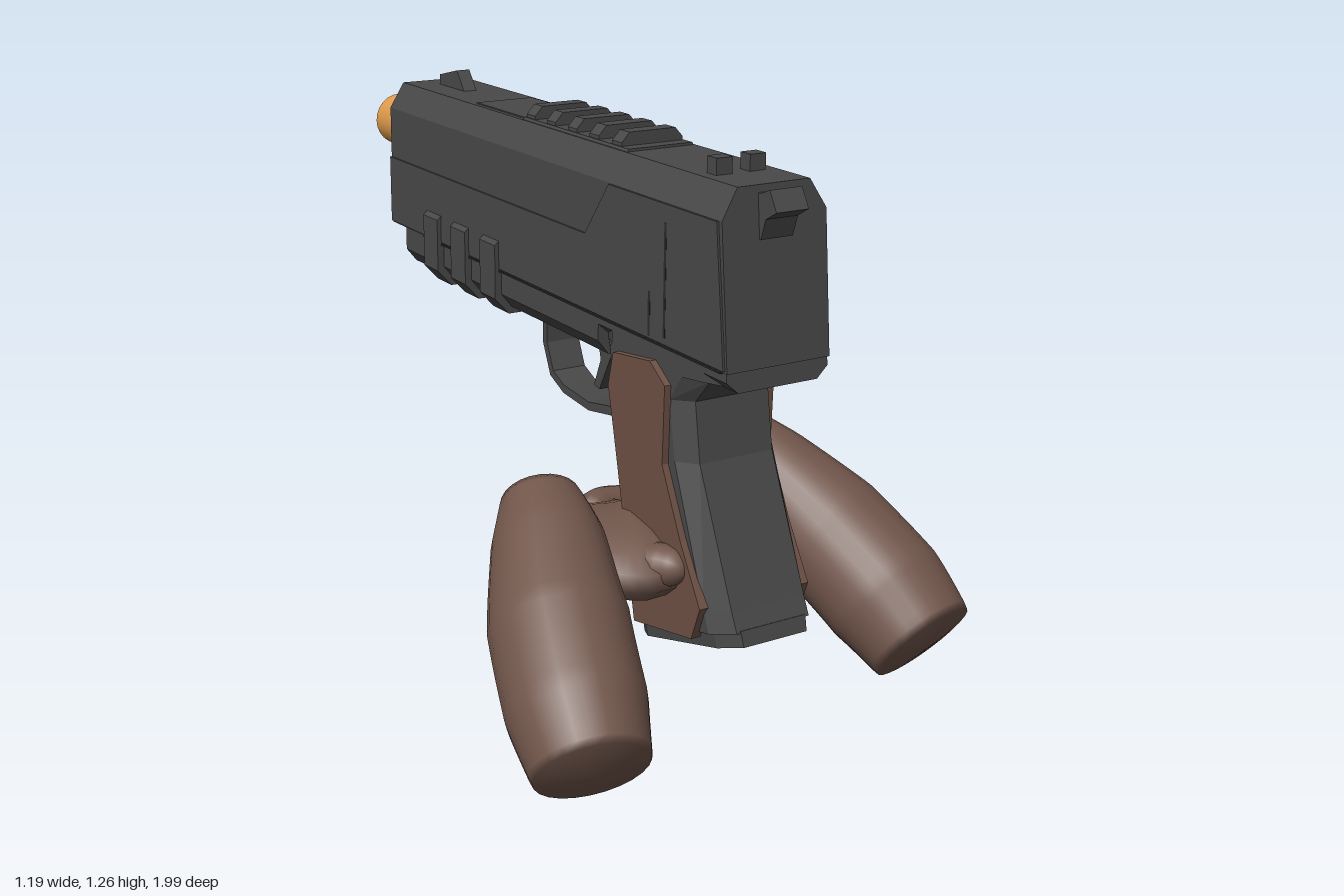
import * as THREE from 'three';
import { mergeVertices } from 'three/addons/utils/BufferGeometryUtils.js';

const CX = 0.042; // centre line of the pistol

export function createModel() {
  const root = new THREE.Group();
  root.name = 'handsHoldingPistol';
  const mat = (name, color, side = THREE.FrontSide) => {
    const m = new THREE.MeshStandardMaterial({ color, side });
    m.name = name;
    return m;
  };
  const steel = mat('darkSteel', 0x484848);
  const groove = mat('grooveBlack', 0x2a2a2a);
  const port = mat('portGrey', 0x4c544c);
  const wood = mat('gripWood', 0x6d5044);
  const skin = mat('skin', 0x71564b);
  const brass = mat('barrelBrass', 0xdd9a4b, THREE.DoubleSide);

  const add = (name, geo, material, parent = root) => {
    const m = new THREE.Mesh(geo, material);
    m.name = name;
    parent.add(m);
    return m;
  };
  const box = (name, x0, x1, y0, y1, z0, z1, material = steel) => {
    const g = new THREE.BoxGeometry(x1 - x0, y1 - y0, z1 - z0);
    g.translate((x0 + x1) / 2, (y0 + y1) / 2, (z0 + z1) / 2);
    return add(name, g, material);
  };
  const shapeOf = pts => new THREE.Shape(pts.map(p => new THREE.Vector2(p[0], p[1])));
  // side profile given as [z, y], extruded between x0 and x1
  const side = (name, pts, x0, x1, material = steel) => {
    const g = new THREE.ExtrudeGeometry(shapeOf(pts), { depth: x1 - x0, bevelEnabled: false });
    g.rotateY(-Math.PI / 2).translate(x1, 0, 0);
    return add(name, g, material);
  };
  // cross-section given as half outline [x from centre, y], mirrored, extruded along z
  const section = (name, half, z0, z1, rake = 0) => {
    const pts = [...half, ...half.map(p => [-p[0], p[1]]).reverse()];
    const g = new THREE.ExtrudeGeometry(shapeOf(pts), { depth: z1 - z0, bevelEnabled: false });
    g.translate(CX, 0, z0);
    const p = g.attributes.position;
    for (let i = 0; i < p.count; i++) {
      if (p.getZ(i) > 0.5) p.setZ(i, p.getZ(i) + (1.235 - p.getY(i)) * rake);
    }
    g.computeVertexNormals();
    return add(name, g, steel);
  };

  // Slide and frame
  section('slide', [[0.13, 0.86], [0.13, 1.172], [0.09, 1.236]], -0.775, 0.77, 0.1);
  section('frame', [[0.1, 0.765], [0.128, 0.8], [0.128, 0.862]], -0.7, 0.3);
  section('frameRear', [[0.1, 0.815], [0.128, 0.84], [0.128, 0.862]], 0.28, 0.765, 0.1);
  for (const s of [-1, 1]) {
    const x0 = CX + s * 0.1315;
    side('slideCheek', [[0.765, 1.17], [0.8, 0.865], [-0.775, 0.865], [-0.775, 1.04], [0.25, 1.04], [0.35, 1.17]],
      x0 - 0.0035, x0 + 0.0035);
    for (const [z, y0, y1] of [[0.58, 0.88, 1.13], [0.52, 0.87, 0.97]]) {
      box('slideGroove', x0 - 0.004, x0 + 0.005, y0, y1, z - 0.004, z + 0.004, groove);
    }
    box('slideRailLine', x0 - 0.004, x0 + 0.0045, 0.858, 0.862, -0.58, 0.79, groove);
  }
  // Ribs wrapped around the frame
  for (const z of [-0.2, -0.36, -0.515]) {
    section('frameRib', [[0.108, 0.748], [0.146, 0.79], [0.146, 0.925], [0.13, 0.94]], z - 0.04, z + 0.04);
  }
  section('slideRidge', [[0.09, 1.23], [0.083, 1.242]], -0.12, 0.35);
  // Ejection port lying on the left bevel of the slide
  const portPlate = box('ejectionPort', -0.003, 0.003, -0.033, 0.033, -0.125, 0.125, port);
  portPlate.position.set(CX + 0.111, 1.204, -0.25);
  portPlate.rotation.z = Math.atan2(0.04, 0.064);
  box('portCover', CX - 0.078, CX + 0.078, 1.2, 1.239, -0.375, -0.125);

  // Top ribs, sights and hammer
  for (let i = 0; i < 5; i++) {
    const z = 0.296 - i * 0.097;
    section('topRib', [[0.08, 1.23], [0.08, 1.25], [0.06, 1.272]], z - 0.02, z + 0.02);
  }
  for (const s of [-1, 1]) box('rearSight', CX + s * 0.042 - 0.02, CX + s * 0.042 + 0.02, 1.23, 1.272, 0.62, 0.655);
  side('frontSight', [[-0.56, 1.235], [-0.6, 1.285], [-0.7, 1.262], [-0.7, 1.235]], CX - 0.018, CX + 0.018);
  side('hammer', [[0.72, 1.22], [0.78, 1.22], [0.81, 1.232], [0.835, 1.19], [0.8, 1.17], [0.785, 1.125], [0.72, 1.12]],
    CX - 0.04, CX + 0.04);

  // Muzzle collar and hollow barrel
  section('muzzleCollar', [[0.072, 1.11], [0.072, 1.17], [0.05, 1.2]], -0.82, -0.76);
  for (const r of [0.07, 0.05]) {
    const tube = new THREE.CylinderGeometry(r, r, 0.24, 24, 1, true);
    tube.rotateX(Math.PI / 2).translate(CX, 1.097, -0.88);
    add('barrel', tube, brass);
  }
  add('barrelRim', new THREE.RingGeometry(0.05, 0.07, 24).rotateY(Math.PI).translate(CX, 1.097, -1), brass);

  // Grip: chamfered cross-sections, each row is back z, back y, front z, front y, half width
  const loft = (name, rows) => {
    const pos = [], idx = [], n = 8;
    for (const [bz, by, fz, fy, w] of rows) {
      for (const [x, t] of [[-0.74, 0], [0.74, 0], [1, 0.15], [1, 0.85], [0.74, 1], [-0.74, 1], [-1, 0.85], [-1, 0.15]]) {
        pos.push(CX + x * w, by + (fy - by) * t, bz + (fz - bz) * t);
      }
    }
    for (let r = 0; r < rows.length - 1; r++) {
      for (let i = 0; i < n; i++) {
        const a = r * n + i, b = r * n + (i + 1) % n;
        idx.push(a, a + n, b, b, a + n, b + n);
      }
    }
    const last = (rows.length - 1) * n;
    for (let i = 1; i < n - 1; i++) idx.push(0, i, i + 1, last, last + i + 1, last + i);
    let g = new THREE.BufferGeometry();
    g.setAttribute('position', new THREE.Float32BufferAttribute(pos, 3));
    g.setIndex(idx);
    g = g.toNonIndexed();
    g.computeVertexNormals();
    add(name, g, steel);
  };
  loft('grip', [
    [0.8, 0.86, 0.28, 0.86, 0.128], [0.79, 0.82, 0.285, 0.81, 0.128], [0.7, 0.81, 0.29, 0.8, 0.128],
    [0.645, 0.75, 0.315, 0.72, 0.128], [0.667, 0.615, 0.35, 0.6, 0.128],
    [0.8, 0.32, 0.42, 0.25, 0.128], [0.82, 0.28, 0.435, 0.18, 0.128],
  ]);
  loft('magazineBase', [[0.82, 0.285, 0.43, 0.185, 0.115], [0.83, 0.25, 0.44, 0.13, 0.112]]);
  const panel = [[0.6, 0.78], [0.54, 0.82], [0.39, 0.8], [0.37, 0.72], [0.41, 0.55], [0.49, 0.19], [0.72, 0.24], [0.75, 0.32],
    [0.67, 0.45], [0.595, 0.6]];
  for (const s of [-1, 1]) side('gripPanel', panel, CX + s * 0.132 - 0.012, CX + s * 0.132 + 0.012, wood);

  // Trigger and its guard
  side('triggerGuard', [[-0.1, 0.78], [-0.1, 0.68], [-0.065, 0.605], [0, 0.577], [0.12, 0.567], [0.37, 0.61],
    [0.37, 0.635], [0.12, 0.588], [0, 0.598], [-0.05, 0.62], [-0.08, 0.685], [-0.08, 0.78]], CX - 0.045, CX + 0.045);
  side('trigger', [[0.28, 0.78], [0.13, 0.78], [0.15, 0.7], [0.12, 0.63], [0.145, 0.625], [0.18, 0.69], [0.205, 0.735], [0.27, 0.74]],
    CX - 0.03, CX + 0.03);

  // Limbs: round tubes through [x, y, z, radius], with rounded ends and an optional squash
  const limb = (parent, name, pts, cap = 0.12, squash = [1, 1, 1], rings = 28, sides = 14) => {
    const curve = new THREE.CatmullRomCurve3(pts.map(p => new THREE.Vector3(p[0], p[1], p[2])));
    let g = new THREE.TubeGeometry(curve, rings, 1, sides);
    const p = g.attributes.position, v = new THREE.Vector3(), s = new THREE.Vector3(...squash);
    for (let i = 0; i <= rings; i++) {
      const u = i / rings, c = curve.getPointAt(u);
      const t = curve.getUtoTmapping(u) * (pts.length - 1);
      const k = Math.min(Math.floor(t), pts.length - 2);
      let r = THREE.MathUtils.lerp(pts[k][3], pts[k + 1][3], t - k);
      const e = Math.min(1, Math.min(u, 1 - u) / cap);
      r *= Math.sqrt(Math.max(0, 1 - (1 - e) ** 2));
      for (let j = 0; j <= sides; j++) {
        const q = i * (sides + 1) + j;
        v.fromBufferAttribute(p, q).sub(c).multiply(s).multiplyScalar(r).add(c);
        p.setXYZ(q, v.x, v.y, v.z);
      }
    }
    g.deleteAttribute('uv');
    g.deleteAttribute('normal');
    g = mergeVertices(g, 1e-5);
    g.computeVertexNormals();
    return add(name, g, skin, parent);
  };
  const group = name => {
    const g = new THREE.Group();
    g.name = name;
    root.add(g);
    return g;
  };

  // Left arm: hand hangs beside the grip with spread fingers
  const left = group('leftArm');
  limb(left, 'leftForearm', [[0.275, 0.53, 0.27, 0.075], [0.325, 0.445, 0.39, 0.115], [0.395, 0.33, 0.54, 0.148],
    [0.45, 0.215, 0.7, 0.15], [0.478, 0.12, 0.825, 0.125]], 0.03, [1, 1, 1], 40, 24);
  limb(left, 'leftPalm', [[0.23, 0.7, 0.4, 0.08], [0.235, 0.63, 0.36, 0.125], [0.25, 0.55, 0.31, 0.125], [0.25, 0.44, 0.28, 0.09]],
    0.15, [0.4, 1, 1]);
  limb(left, 'leftKnuckles', [[0.225, 0.665, 0.475, 0.042], [0.235, 0.66, 0.36, 0.046], [0.265, 0.625, 0.2, 0.045]]);
  const leftFingers = [
    [[0.26, 0.64, 0.25, 0.045], [0.285, 0.58, 0.16, 0.04], [0.28, 0.46, 0.1, 0.032], [0.27, 0.335, 0.045, 0.026]],
    [[0.26, 0.56, 0.22, 0.045], [0.275, 0.4, 0.23, 0.038], [0.26, 0.25, 0.2, 0.033], [0.23, 0.085, 0.2, 0.028]],
    [[0.25, 0.52, 0.28, 0.045], [0.255, 0.35, 0.28, 0.038], [0.24, 0.2, 0.3, 0.034], [0.19, 0.055, 0.29, 0.03]],
    [[0.24, 0.48, 0.33, 0.045], [0.24, 0.33, 0.36, 0.038], [0.19, 0.19, 0.4, 0.034], [0.11, 0.05, 0.39, 0.028]],
    [[0.225, 0.66, 0.455, 0.04], [0.22, 0.6, 0.475, 0.036], [0.21, 0.48, 0.48, 0.03]],
  ];
  leftFingers.forEach((f, i) => limb(left, i < 4 ? 'leftFinger' : 'leftThumb', f));

  // Right arm: hand wraps around the grip
  const right = group('rightArm');
  limb(right, 'rightForearm', [[-0.28, 0.495, 0.37, 0.085], [-0.32, 0.425, 0.48, 0.125], [-0.39, 0.31, 0.65, 0.153],
    [-0.44, 0.2, 0.81, 0.15], [-0.47, 0.11, 0.93, 0.122]], 0.03, [1, 1, 1], 40, 24);
  limb(right, 'rightPalm', [[-0.37, 0.4, 0.335, 0.06], [-0.28, 0.385, 0.38, 0.13], [-0.19, 0.37, 0.42, 0.175],
    [-0.11, 0.36, 0.46, 0.215], [-0.06, 0.36, 0.46, 0.18]], 0.08, [1, 0.42, 1]);
  for (let i = 0; i < 3; i++) {
    const y = 0.4 - i * 0.055, z = i * 0.02;
    limb(right, 'rightFinger', [[-0.14, y, 0.33 + z, 0.04], [-0.06, y, 0.29 + z, 0.038], [0.08, y - 0.02, 0.31 + z, 0.036],
      [0.195, y - 0.03, 0.38 + z, 0.033], [0.21, y - 0.05, 0.52 + z, 0.028]]);
  }
  limb(right, 'rightThumb', [[-0.15, 0.36, 0.56, 0.06], [-0.115, 0.38, 0.63, 0.05], [-0.095, 0.39, 0.69, 0.03]], 0.25);
  return root;
}
